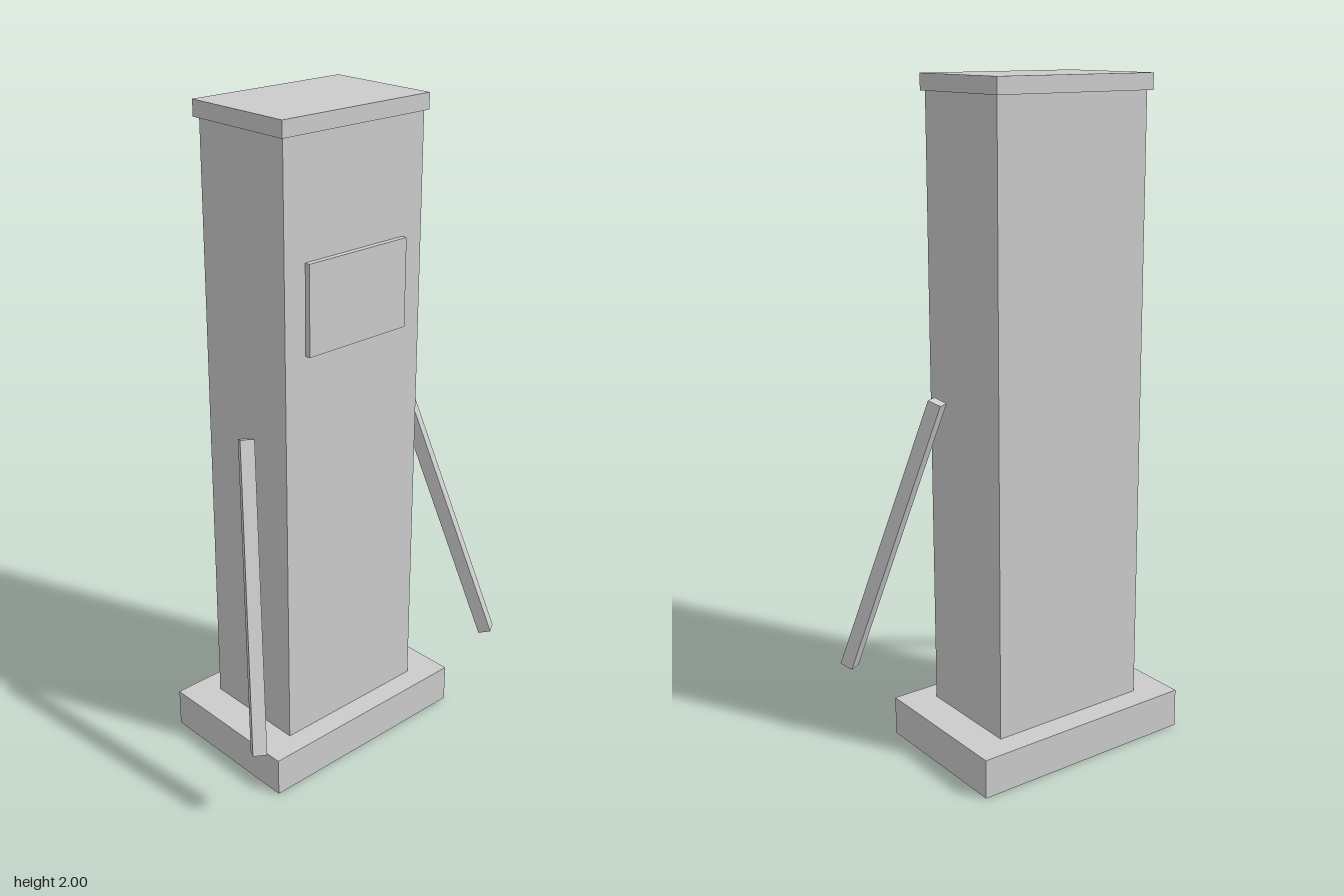
import * as THREE from 'three';

export function createModel() {
  const model = new THREE.Group();
  model.name = 'pillar';
  const grey = new THREE.MeshStandardMaterial({ color: 0xcccccc });
  grey.name = 'light grey';

  // Box given by its half width, height range and depth range
  function addBox(name, halfWidth, y0, y1, z0, z1) {
    const mesh = new THREE.Mesh(new THREE.BoxGeometry(halfWidth * 2, y1 - y0, z1 - z0), grey);
    mesh.name = name;
    mesh.position.set(0, (y0 + y1) / 2, (z0 + z1) / 2);
    model.add(mesh);
  }
  addBox('base', 0.364, 0, 0.12, -0.288, 0.197);
  addBox('column', 0.257, 0.12, 1.953, -0.212, 0.127);
  addBox('cap', 0.267, 1.953, 2, -0.227, 0.137);
  addBox('frontPanel', 0.183, 1.345, 1.61, 0.127, 0.144);

  // Slanted square arms, detached from the column, splayed outward and forward
  for (const side of [1, -1]) {
    const top = new THREE.Vector3(side * 0.308, 1.098, 0.015);
    const bottom = new THREE.Vector3(side * 0.487, 0.246, 0.257);
    const up = top.clone().sub(bottom);
    const length = up.length();
    up.normalize();
    // Cross-section is turned about 30 degrees from the column faces
    const across = new THREE.Vector3(side * -0.866, 0, 0.5);
    across.addScaledVector(up, -across.dot(up)).normalize();
    const depth = new THREE.Vector3().crossVectors(across, up);
    const arm = new THREE.Mesh(new THREE.BoxGeometry(0.041, length, 0.041), grey);
    arm.name = side > 0 ? 'leftArm' : 'rightArm';
    arm.quaternion.setFromRotationMatrix(new THREE.Matrix4().makeBasis(across, up, depth));
    arm.position.copy(top).add(bottom).multiplyScalar(0.5);
    model.add(arm);
  }
  return model;
}
